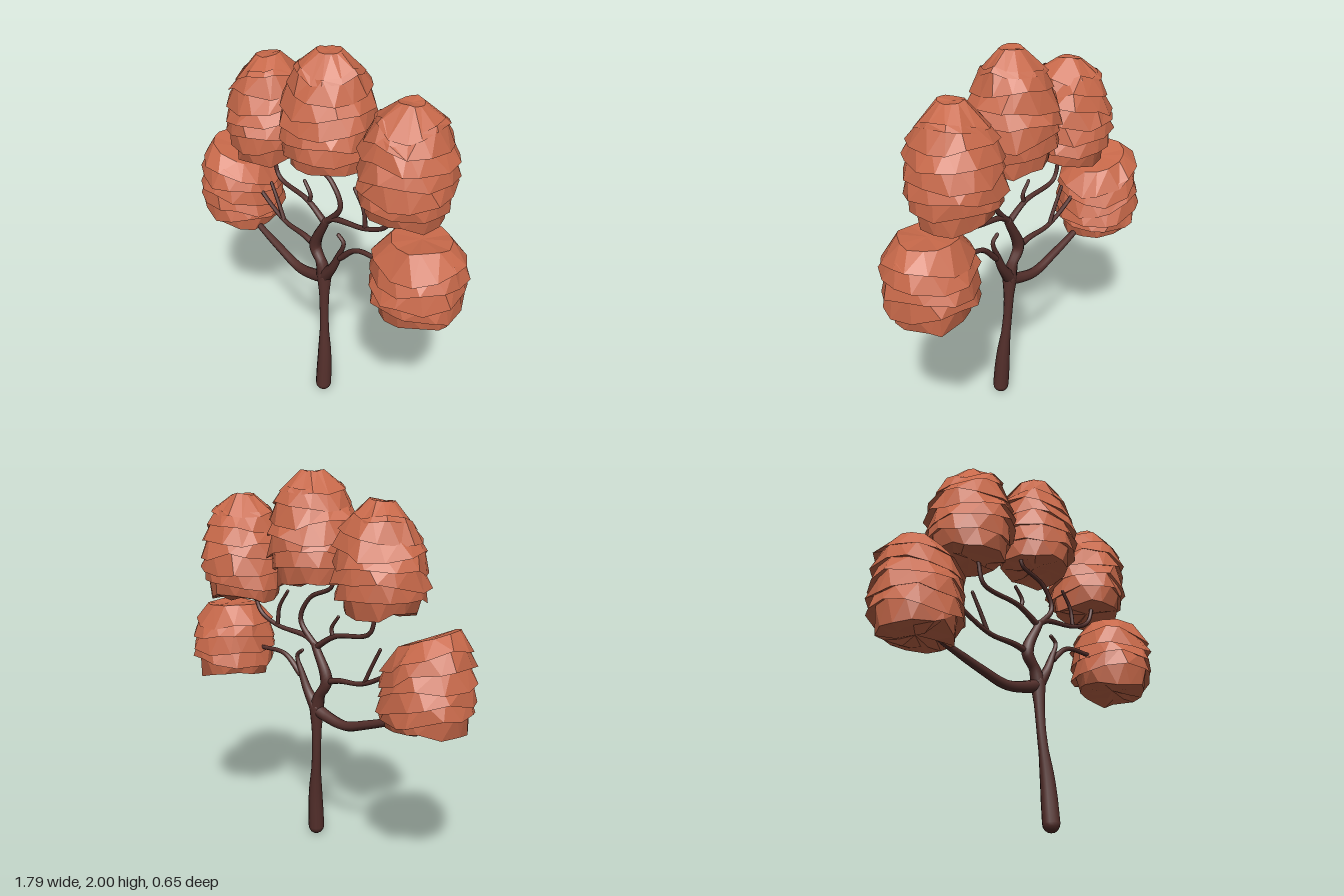
import * as THREE from 'three';

const barkMat = new THREE.MeshStandardMaterial({ color: 0x55302c });
const leafMat = new THREE.MeshStandardMaterial({ color: 0xc8694a, flatShading: true, side: THREE.DoubleSide });

// Small seeded generator, returns values in -1..1
function seeded(seed) {
  let s = seed * 7919 + 17;
  return () => {
    s = (s * 16807) % 2147483647;
    return (s / 2147483647) * 2 - 1;
  };
}

// Linear lookup in a short list, t in 0..1
function sample(list, t) {
  const f = Math.min(Math.max(t, 0), 1) * (list.length - 1);
  const i = Math.min(Math.floor(f), list.length - 2);
  return THREE.MathUtils.lerp(list[i], list[i + 1], f - i);
}

// Depth: branches drift back on the -x side and forward on the +x side; the trunk foot leans forward
const depth = (x, y) => 0.05 + (x - 0.05) * (x < 0.05 ? 0.15 : 0.08) + Math.max(0, 0.65 - y) * 0.07;

// Tapered, round-ended limb through [x, y] points; thin branch radii by default
function limb(name, pts, radii = [0.018, 0.013, 0.012, 0.01], sides = 8) {
  const group = new THREE.Group();
  group.name = name;
  const curve = new THREE.CatmullRomCurve3(
    pts.map(([x, y]) => new THREE.Vector3(x, y, depth(x, y))), false, 'centripetal');
  const segs = pts.length * 5;
  const geo = new THREE.TubeGeometry(curve, segs, 1, sides);
  const pos = geo.attributes.position;
  const v = new THREE.Vector3();
  for (let i = 0; i <= segs; i++) {
    const c = curve.getPointAt(i / segs);
    const r = sample(radii, i / segs);
    for (let j = 0; j <= sides; j++) {
      const k = i * (sides + 1) + j;
      v.fromBufferAttribute(pos, k).sub(c).multiplyScalar(r).add(c);
      pos.setXYZ(k, v.x, v.y, v.z);
    }
  }
  const tube = new THREE.Mesh(geo, barkMat);
  tube.name = name + 'Tube';
  group.add(tube);
  for (const t of [0, 1]) {
    const end = new THREE.Mesh(new THREE.SphereGeometry(sample(radii, t), sides, 8), barkMat);
    end.position.copy(curve.getPointAt(t));
    end.name = name + 'End';
    group.add(end);
  }
  return group;
}

// Leaf clump: stacked ragged skirts, each overhanging the one below
function clump({ name, seed, base, height, profile, layers, tilt = 0, spike = 0 }) {
  const rnd = seeded(seed);
  const sides = 13;
  const rows = [];
  for (let l = 0; l <= layers; l++) {
    const t = l / layers;
    const phase = rnd() * 3;
    const r = sample(profile, t);
    const wave = l === layers ? 0.004 : 0.016;
    const lip = [], tuck = [];
    for (let j = 0; j < sides; j++) {
      const a = ((j + l * 0.37 + rnd() * 0.28) / sides) * Math.PI * 2;
      const y = t * height + wave * (Math.sin(2 * a + phase) + rnd());
      const put = (k, dy) => {
        const x = Math.cos(a) * r * k;
        return [x, y + dy + tilt * x * t, Math.sin(a) * r * k];
      };
      tuck.push(put(0.87 + 0.04 * rnd(), 0.012));
      lip.push(put(1.01 + 0.05 * rnd(), -0.012));
    }
    // tuck is the top of the skirt below, lip the hem of the skirt above
    if (l > 0) rows.push(tuck);
    if (l < layers) rows.push(lip);
  }
  // One leaf tip poking out of the -x side
  const row = rows[Math.floor(rows.length * 0.58)];
  row.reduce((m, p) => (p[0] < m[0] ? p : m))[0] -= spike;

  // Ragged underside ring below the lowest hem
  rows.unshift(rows[0].map(([x, , z]) => [x * 0.5, -0.01 + 0.02 * rnd(), z * 0.5]));
  const verts = rows.flat(2);
  verts.push(0, 0, 0, 0, height + 0.008, 0);
  const low = rows.length * sides;
  const index = [];
  const at = (r, j) => r * sides + (j % sides);
  for (let j = 0; j < sides; j++) {
    for (let r = 0; r < rows.length - 1; r++) {
      index.push(at(r, j + 1), at(r, j), at(r + 1, j));
      index.push(at(r, j + 1), at(r + 1, j), at(r + 1, j + 1));
    }
    index.push(low, at(0, j), at(0, j + 1));
    index.push(low + 1, at(rows.length - 1, j + 1), at(rows.length - 1, j));
  }
  const geo = new THREE.BufferGeometry();
  geo.setAttribute('position', new THREE.Float32BufferAttribute(verts, 3));
  geo.setIndex(index);
  geo.computeVertexNormals();
  const mesh = new THREE.Mesh(geo, leafMat);
  mesh.name = name;
  mesh.position.set(...base);
  return mesh;
}

export function createModel() {
  const model = new THREE.Group();
  model.name = 'tree';

  // Trunk and main limbs
  model.add(
    limb('trunk', [[0.09, 0.046], [0.085, 0.25], [0.065, 0.5], [0.055, 0.76]],
      [0.044, 0.042, 0.036, 0.026, 0.024, 0.027, 0.04], 12),
    limb('lowRightLimb', [[0.055, 0.75], [-0.03, 0.72], [-0.15, 0.7], [-0.3, 0.74], [-0.62, 0.85]],
      [0.035, 0.026, 0.021, 0.012]),
    limb('centreLimb', [[0.055, 0.76], [0.035, 0.83], [-0.015, 0.915], [0.065, 1.1]],
      [0.04, 0.028, 0.033, 0.026, 0.021]),
    limb('leftLimb', [[0.055, 0.76], [0.115, 0.84], [0.16, 0.94], [0.19, 1.03], [0.155, 1.06]],
      [0.04, 0.026, 0.02, 0.012, 0.01]),
  );

  // Thin branches
  model.add(
    limb('midRightBranch', [[-0.015, 0.915], [-0.1, 0.935], [-0.25, 0.945], [-0.38, 1.0], [-0.52, 1.09]]),
    limb('upperRightBranch', [[0.06, 1.09], [-0.07, 1.165], [-0.3, 1.21], [-0.335, 1.31], [-0.35, 1.4]]),
    limb('topBranch', [[0.06, 1.09], [0.165, 1.23], [0.1, 1.35], [-0.05, 1.42], [-0.06, 1.5]]),
    limb('upperLeftBranch', [[0.06, 1.1], [0.12, 1.14], [0.34, 1.18], [0.46, 1.25], [0.51, 1.42]]),
    limb('midLeftBranch', [[0.17, 0.93], [0.28, 1.025], [0.45, 1.04], [0.56, 1.05]]),
  );

  // Short bare twigs
  const twig = [0.012, 0.009];
  model.add(
    limb('midRightTwig', [[-0.27, 0.95], [-0.32, 1.05], [-0.37, 1.14]], twig),
    limb('upperRightTwig', [[-0.06, 1.16], [-0.05, 1.205], [-0.095, 1.27]], twig),
    limb('upperLeftTwig', [[0.33, 1.18], [0.315, 1.28], [0.255, 1.37]], twig),
  );

  // Leaf clumps: egg-shaped on top, squat at the sides
  const egg = { profile: [0.18, 0.22, 0.235, 0.235, 0.225, 0.2, 0.165, 0.07], layers: 7 };
  const squat = { profile: [0.185, 0.225, 0.235, 0.235, 0.225, 0.215, 0.165], layers: 5 };
  model.add(
    clump({ ...squat, name: 'lowRightLeaves', seed: 3, base: [-0.665, 0.82, -0.08], height: 0.41, tilt: -0.35, layers: 6 }),
    clump({ ...egg, name: 'upperRightLeaves', seed: 11, base: [-0.38, 1.34, -0.035], height: 0.51, tilt: 0.15 }),
    clump({ ...egg, name: 'topLeaves', seed: 23, base: [0.06, 1.45, 0.025], height: 0.535, spike: 0.045 }),
    clump({ ...egg, name: 'upperLeftLeaves', seed: 37, base: [0.52, 1.34, 0.03], height: 0.525 }),
    clump({ ...squat, name: 'lowLeftLeaves', seed: 41, base: [0.66, 0.885, 0.09], height: 0.375 }),
  );

  return model;
}
